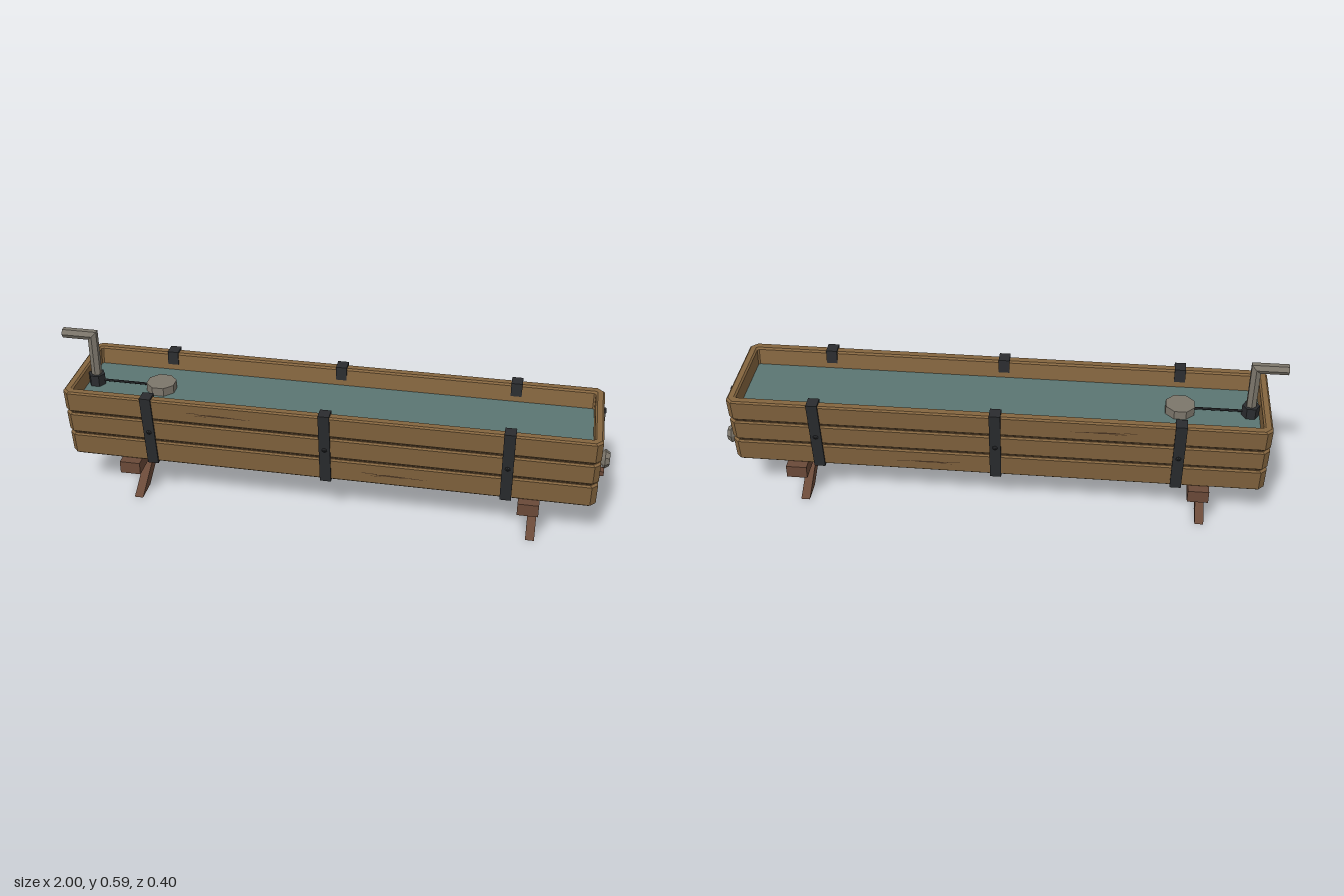
import * as THREE from 'three';

const mat = (name, color, side = THREE.FrontSide) => {
  const m = new THREE.MeshStandardMaterial({ color, flatShading: true, side });
  m.name = name;
  return m;
};

// Skin between rings of points; either closed into a loop or capped at both ends
function loft(rings, closed) {
  const n = rings[0].length, pos = [];
  const tri = (...pts) => pts.forEach(p => pos.push(p[0], p[1], p[2]));
  const count = closed ? rings.length : rings.length - 1;
  for (let i = 0; i < count; i++) {
    const a = rings[i], b = rings[(i + 1) % rings.length];
    for (let j = 0; j < n; j++) {
      const k = (j + 1) % n;
      tri(a[j], b[j], b[k]);
      tri(a[j], b[k], a[k]);
    }
  }
  if (!closed) {
    const a = rings[0], b = rings[rings.length - 1];
    for (let j = 1; j < n - 1; j++) {
      tri(a[0], a[j], a[j + 1]);
      tri(b[0], b[j + 1], b[j]);
    }
  }
  const g = new THREE.BufferGeometry();
  g.setAttribute('position', new THREE.Float32BufferAttribute(pos, 3));
  g.computeVertexNormals();
  return g;
}

// Trough dimensions: walls flare outward along z
const CX = 0.003, HALF_X = 0.955, BOTTOM = 0.163, TOP = 0.443;
const SLOPE = 0.036 / 0.28;
const halfZ = y => 0.157 + (y - BOTTOM) * SLOPE;

// Chamfered rectangle at height y, inset from the outer wall
function rectRing(y, insetX, insetZ, c) {
  const x = HALF_X - insetX, z = halfZ(y) - insetZ;
  return [[x, -z + c], [x, z - c], [x - c, z], [-x + c, z], [-x, z - c], [-x, -z + c], [-x + c, -z], [x - c, -z]]
    .map(p => [p[0] + CX, y, p[1]]);
}

// Hollow band of wall with bevelled edges
function wallBand(y0, y1, inset, bevel, thickX, thickZ) {
  const o = inset, b = bevel, c = 0.02, ci = 0.006;
  return loft([
    rectRing(y0, o + b, o + b, c), rectRing(y0 + b, o, o, c),
    rectRing(y1 - b, o, o, c), rectRing(y1, o + b, o + b, c),
    rectRing(y1, thickX - b, thickZ - b, ci), rectRing(y1 - b, thickX, thickZ, ci),
    rectRing(y0 + b, thickX, thickZ, ci), rectRing(y0, thickX - b, thickZ - b, ci),
  ], true);
}

export function createModel() {
  const model = new THREE.Group();
  model.name = 'waterTrough';
  const wood = mat('plank wood', 0x84653f);
  const gap = mat('gap wood', 0x55402a);
  const grain = mat('wood grain', 0x4c3724, THREE.DoubleSide);
  const legWood = mat('leg wood', 0x6a4938);
  const iron = mat('black iron', 0x2a2c2f);
  const metal = mat('grey metal', 0x7c766b);
  const water = mat('water', 0x5b7572);

  const add = (name, geo, m, x = 0, y = 0, z = 0, parent = model) => {
    const mesh = new THREE.Mesh(geo, m);
    mesh.name = name;
    mesh.position.set(x, y, z);
    parent.add(mesh);
    return mesh;
  };

  // Three courses of planks around a darker recessed core
  [[0.163, 0.256], [0.263, 0.349], [0.356, TOP]].forEach(([y0, y1]) =>
    add('plankCourse', wallBand(y0, y1, 0, 0.006, 0.031, 0.035), wood));
  add('wallCore', wallBand(0.18, 0.42, 0.008, 0.002, 0.024, 0.028), gap);
  add('floor', new THREE.BoxGeometry(1.87, 0.012, 0.28), wood, CX, 0.1695, 0);

  // Water surface
  const level = 0.378;
  add('water', new THREE.PlaneGeometry(2 * (HALF_X - 0.029), 2 * (halfZ(level) - 0.033)).rotateX(-Math.PI / 2),
    water, CX, level, 0);

  // Iron straps running under the trough and hooked over both rims
  const t = 0.007;
  const half = [[halfZ(BOTTOM), BOTTOM], [halfZ(TOP), TOP], [0.16, TOP], [0.155, 0.4], [0.148, 0.4],
    [0.152, TOP + t], [halfZ(TOP) + t, TOP + t], [halfZ(BOTTOM) + t - 0.001, BOTTOM - 0.005]];
  const outline = [...half, ...half.map(p => [-p[0], p[1]]).reverse()];
  const strapGeo = new THREE.ExtrudeGeometry(
    new THREE.Shape(outline.map(p => new THREE.Vector2(...p))), { depth: 0.04, bevelEnabled: false });
  strapGeo.translate(0, 0, -0.02).rotateY(-Math.PI / 2);
  for (const x of [-0.643, 0, 0.643]) {
    add('strap', strapGeo, iron, CX + x, 0, 0);
    for (const s of [1, -1]) {
      add('strapRivet', new THREE.CylinderGeometry(0.003, 0.011, 0.007, 6).rotateX(s * Math.PI / 2),
        iron, CX + x, 0.302, s * (halfZ(0.302) + t + 0.002));
    }
  }

  // Dark grain streaks on both long sides
  const streak = (x, y, w, h) => new THREE.Shape([[-w, 0], [-w * 0.35, h], [w * 0.3, h * 0.7], [w, 0], [w * 0.4, -h], [-w * 0.4, -h * 0.7]]
    .map(p => new THREE.Vector2(p[0] + x, p[1] + y)));
  const grainGeo = new THREE.ShapeGeometry([
    streak(0, 0, 0.075, 0.004), streak(-0.085, 0.004, 0.035, 0.0015),
    streak(0.09, -0.002, 0.035, 0.0015), streak(-0.055, -0.006, 0.03, 0.001)]);
  for (const [x, y] of [[-0.385, 0.4], [0.243, 0.208]]) {
    for (const s of [1, -1]) {
      add('grainStreak', grainGeo, grain, x, y, s * (halfZ(y) + 0.0015)).rotation.x = s * Math.atan(SLOPE);
    }
  }

  // Trestles: a beam on two crossed boards lying side by side
  const boardShape = new THREE.Shape([[0.17, 0], [0.082, 0], [-0.13, 0.122], [-0.042, 0.122]]
    .map(p => new THREE.Vector2(...p)));
  const boardGeo = new THREE.ExtrudeGeometry(boardShape, { depth: 0.032, bevelEnabled: false });
  boardGeo.translate(0, 0, -0.016).rotateY(-Math.PI / 2);
  for (const x of [-0.725, 0.725]) {
    const trestle = new THREE.Group();
    trestle.name = 'trestle';
    trestle.position.x = CX + x;
    model.add(trestle);
    add('beam', new THREE.BoxGeometry(0.075, 0.047, 0.377), legWood, 0, 0.1415, 0, trestle);
    add('legBoard', boardGeo, legWood, 0.016, 0, 0, trestle);
    add('crossedLegBoard', boardGeo, legWood, -0.016, 0, 0, trestle).rotation.y = Math.PI;
  }

  // Mitred hexagonal inlet pipe
  const px = -0.888, py = 0.5785;
  const hexRing = f => Array.from({ length: 6 }, (_, k) => {
    const a = Math.PI / 6 + k * Math.PI / 3;
    return f(0.019 * Math.cos(a), 0.019 * Math.sin(a));
  });
  add('inletPipe', loft([
    hexRing((u, z) => [px + u, 0.37, z]),
    hexRing((u, z) => [px + u, py + u, z]),
    hexRing((u, z) => [-1, py + u, z]),
  ], false), metal);
  add('pipeCollar', new THREE.CylinderGeometry(0.031, 0.031, 0.05, 6).rotateY(Math.PI / 6), iron, px, 0.395, 0);

  // Float on its arm
  add('floatArm', new THREE.CylinderGeometry(0.0045, 0.0045, 0.21, 6).rotateZ(Math.PI / 2), iron, -0.77, 0.394, 0);
  add('float', new THREE.CylinderGeometry(0.055, 0.055, 0.034, 8).rotateY(Math.PI / 8), metal, -0.64, 0.393, 0);

  // Drain valve, its rod and the wooden plug on the end wall
  const endX = CX + HALF_X;
  const knob = [[0, 0], [0.015, 0], [0.02, 0.012], [0.036, 0.026], [0.025, 0.043], [0, 0.043]]
    .map(p => new THREE.Vector2(...p));
  add('valveKnob', new THREE.LatheGeometry(knob, 8).rotateY(Math.PI / 16).rotateZ(-Math.PI / 2),
    metal, endX - 0.001, 0.218, -0.077);
  add('valveRod', new THREE.BoxGeometry(0.007, 0.175, 0.011), metal, endX + 0.003, 0.325, -0.077);
  add('rodClip', new THREE.BoxGeometry(0.012, 0.016, 0.014), iron, endX + 0.002, 0.418, -0.077);
  add('drainPlug', new THREE.CylinderGeometry(0.017, 0.021, 0.024, 6).rotateZ(-Math.PI / 2),
    legWood, endX + 0.01, 0.212, 0).rotation.x = Math.PI / 6;

  return model;
}
